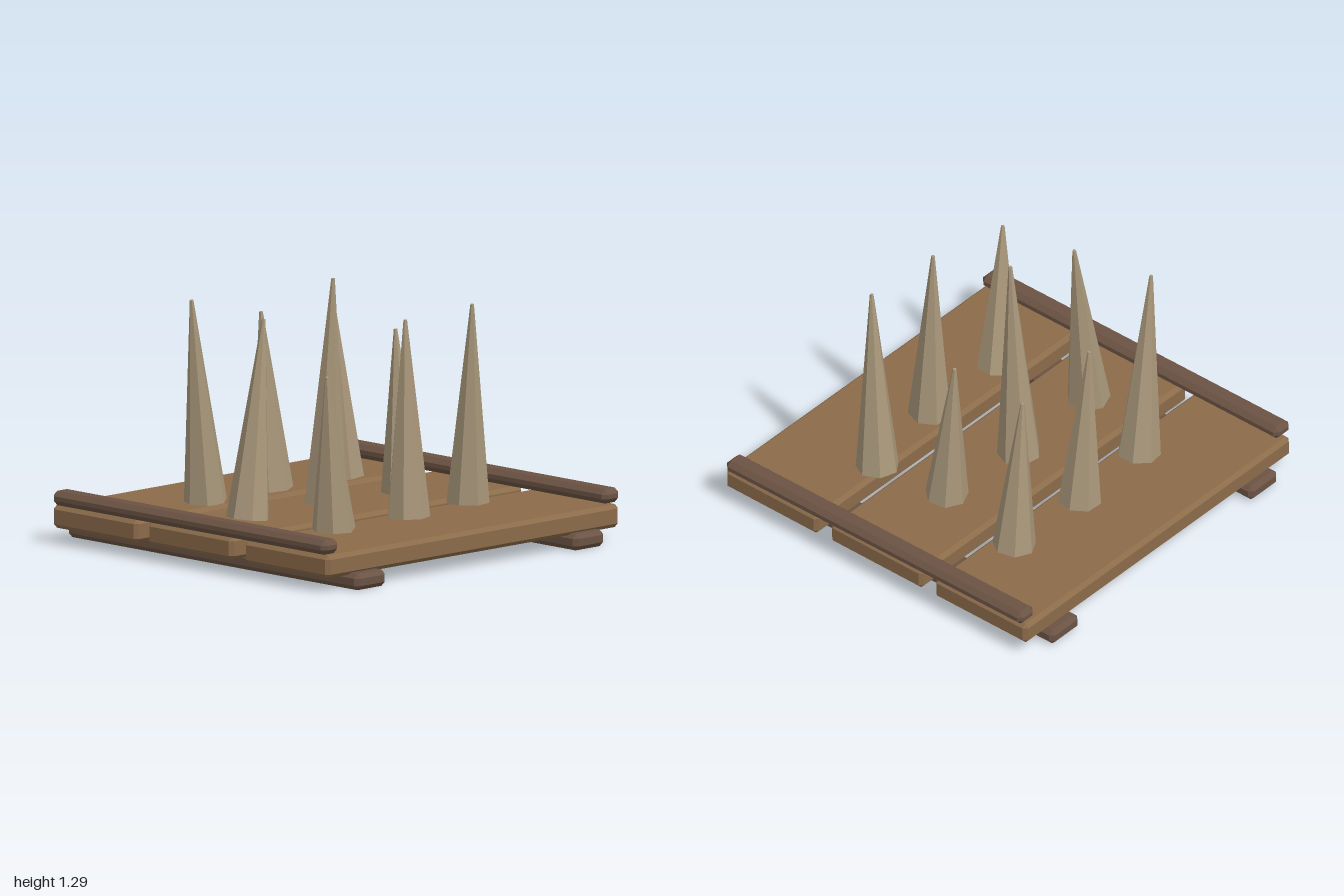
import * as THREE from 'three';
import { ConvexGeometry } from 'three/addons/geometries/ConvexGeometry.js';

const plankWood = new THREE.MeshStandardMaterial({ color: 0x8b6b4a });
plankWood.name = 'plank wood';
const darkWood = new THREE.MeshStandardMaterial({ color: 0x6b5344 });
darkWood.name = 'dark wood';
const spikeWood = new THREE.MeshStandardMaterial({ color: 0xa8977a, flatShading: true });
spikeWood.name = 'spike wood';

// Box with every edge cut off at 45 degrees
function chamferBox(w, h, d, b) {
  const half = [w / 2, h / 2, d / 2];
  const points = [];
  for (const sx of [-1, 1]) for (const sy of [-1, 1]) for (const sz of [-1, 1]) {
    for (let face = 0; face < 3; face++) {
      const c = half.map((v, i) => (i === face ? v : v - b));
      points.push(new THREE.Vector3(sx * c[0], sy * c[1], sz * c[2]));
    }
  }
  return new ConvexGeometry(points);
}

function add(group, name, geometry, material, x, y, z) {
  const mesh = new THREE.Mesh(geometry, material);
  mesh.name = name;
  mesh.position.set(x, y, z);
  group.add(mesh);
  return mesh;
}

export function createModel() {
  const model = new THREE.Group();
  model.name = 'spikeTrap';

  // Bearers underneath and rails on top, mirrored left and right
  const bearer = chamferBox(0.205, 0.08, 1.98, 0.022);
  const rail = chamferBox(0.112, 0.07, 1.86, 0.024);
  for (const [side, s] of [['left', 1], ['right', -1]]) {
    add(model, side + 'Bearer', bearer, darkWood, s * 0.733, 0.04, 0);
    add(model, side + 'Rail', rail, darkWood, s * 0.944, 0.22, 0);
  }

  // Three deck planks, slightly skewed
  const plank = chamferBox(1.95, 0.112, 0.58, 0.02);
  const planks = [['back', -0.656, 0.125, -0.004], ['middle', -0.005, 0.128, -0.007], ['front', 0.652, 0.125, -0.008]];
  for (const [name, z, y, yaw] of planks) {
    add(model, name + 'Plank', plank, plankWood, 0, y, z).rotation.y = yaw;
  }

  // Leaning spikes: base x, base z, tip x, tip y, tip z, twist
  const spikes = [
    [-0.40, -0.48, -0.515, 1.18, -0.46, 0.2],
    [0.06, -0.50, 0.00, 1.05, -0.51, 0.9],
    [0.53, -0.49, 0.475, 1.01, -0.495, 0.5],
    [-0.57, -0.02, -0.465, 1.14, -0.02, 0.3],
    [-0.03, -0.045, -0.03, 1.285, 0.01, 0.7],
    [0.44, 0.01, 0.44, 0.97, -0.04, 0.4],
    [-0.48, 0.47, -0.58, 0.945, 0.525, 0.1],
    [0.005, 0.485, 0.005, 1.14, 0.465, 0.8],
    [0.49, 0.40, 0.44, 1.16, 0.48, 0.6],
  ];
  const up = new THREE.Vector3(0, 1, 0);
  spikes.forEach(([bx, bz, tx, ty, tz, twist], i) => {
    const base = new THREE.Vector3(bx, 0.186, bz);
    const lean = new THREE.Vector3(tx, ty, tz).sub(base);
    const length = lean.length();
    const geometry = new THREE.CylinderGeometry(0.009, 0.106, length, 7);
    geometry.rotateY(twist).translate(0, length / 2, 0);
    const spike = add(model, 'spike' + (i + 1), geometry, spikeWood, base.x, base.y, base.z);
    spike.quaternion.setFromUnitVectors(up, lean.normalize());
  });

  return model;
}
